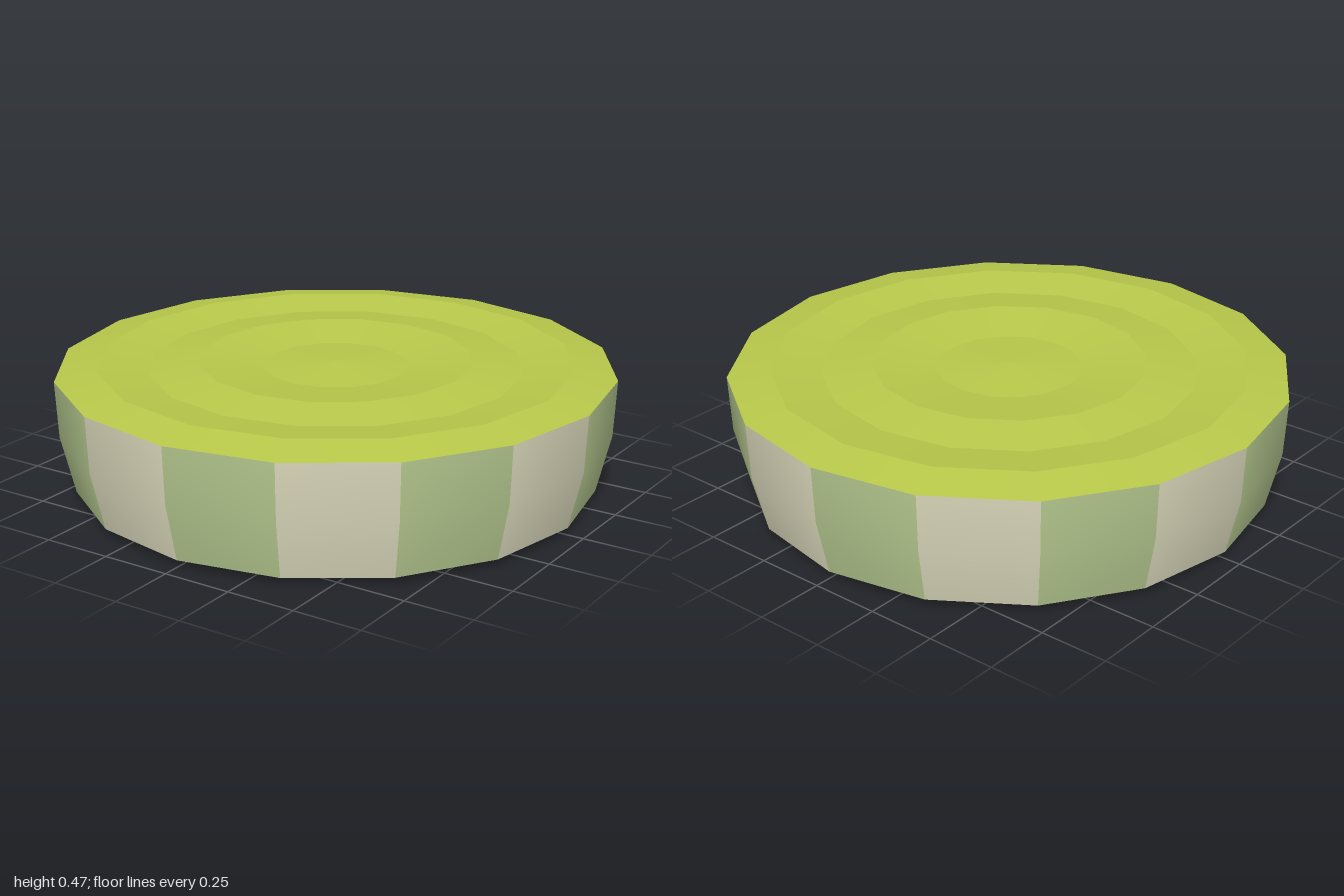
import * as THREE from 'three';

const SIDES = 16;

// One band of revolution: smooth around, with sharp edges towards its neighbours
function band(points, material, name) {
  const profile = points.map(([r, y]) => new THREE.Vector2(r, y));
  const mesh = new THREE.Mesh(new THREE.LatheGeometry(profile, SIDES), material);
  mesh.name = name;
  return mesh;
}

// A rippled face made of one band per pair of rings
function rippledFace(rings, material, name) {
  const face = new THREE.Group();
  face.name = name;
  for (let i = 0; i < rings.length - 1; i++) {
    face.add(band([rings[i], rings[i + 1]], material, name + 'Ring' + (i + 1)));
  }
  return face;
}

export function createModel() {
  const lime = new THREE.MeshStandardMaterial({ color: 0xb8c84a });
  lime.name = 'lime';
  const green = new THREE.MeshStandardMaterial({ color: 0xb6ca90 });
  green.name = 'paleGreen';
  const cream = new THREE.MeshStandardMaterial({ color: 0xdcdabc });
  cream.name = 'cream';

  const model = new THREE.Group();
  model.name = 'stripedDisc';

  // Cushion-like top and bottom with concentric ripples
  const top = [[1, 0.44], [0.85, 0.465], [0.67, 0.443], [0.49, 0.465], [0.26, 0.44], [0, 0.455]];
  const bottom = [[0, 0.01], [0.245, 0.025], [0.46, 0], [0.63, 0.022], [0.8, 0], [0.94, 0.025]];
  model.add(rippledFace(top, lime, 'top'));
  model.add(rippledFace(bottom, lime, 'bottom'));

  // Tapered side wall, panels alternating in colour
  const wall = [[0.94, 0.025], [0.99, 0.235], [1, 0.44]];
  const side = band(wall, [green, cream], 'sideWall');
  const perPanel = 6 * (wall.length - 1);
  for (let i = 0; i < SIDES; i++) side.geometry.addGroup(i * perPanel, perPanel, i % 2);
  model.add(side);

  return model;
}
